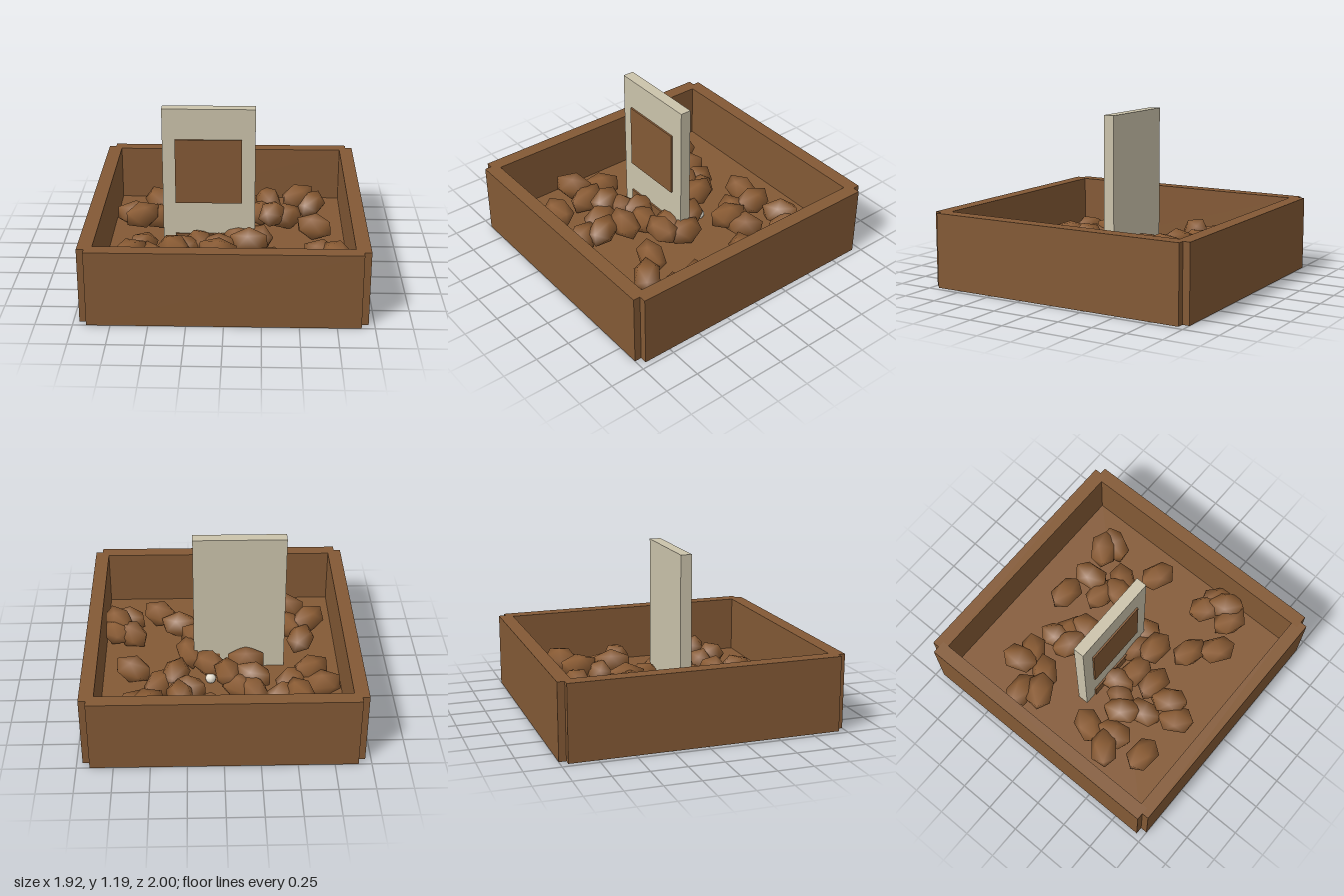
import * as THREE from 'three';
import { mergeVertices } from 'three/addons/utils/BufferGeometryUtils.js';

const mat = (name, color) => {
  const m = new THREE.MeshStandardMaterial({ color });
  m.name = name;
  return m;
};

export function createModel() {
  const model = new THREE.Group();
  const wood = mat('wood', 0x835935);
  const stoneBrown = mat('stone brown', 0x8b5c34);
  const boardBeige = mat('board beige', 0xcbc3ab);
  const pebbleWhite = mat('pebble white', 0xe6dfd0);

  // box given by its minimum and maximum corners
  const box = (name, m, [x0, y0, z0], [x1, y1, z1]) => {
    const mesh = new THREE.Mesh(new THREE.BoxGeometry(x1 - x0, y1 - y0, z1 - z0), m);
    mesh.position.set((x0 + x1) / 2, (y0 + y1) / 2, (z0 + z1) / 2);
    mesh.name = name;
    model.add(mesh);
  };

  // planter: floor and four overlapping walls
  const floorTop = 0.12;
  box('floor', wood, [-0.9, 0.002, -0.94], [0.9, floorTop, 0.94]);
  box('frontWall', wood, [-0.91, 0, 0.9], [0.91, 0.53, 1]);
  box('backWall', wood, [-0.91, 0, -1], [0.91, 0.53, -0.9]);
  box('leftWall', wood, [0.86, 0, -0.95], [0.96, 0.53, 0.95]);
  box('rightWall', wood, [-0.96, 0, -0.95], [-0.86, 0.53, 0.95]);

  // upright board with two raised panels on its front
  box('board', boardBeige, [-0.46, 0, -0.02], [0.2, 1.19, 0.06]);
  box('upperPanel', wood, [-0.37, 0.485, 0.06], [0.105, 0.965, 0.073]);
  box('lowerPanel', wood, [-0.37, 0.13, 0.06], [0.105, 0.243, 0.073]);

  // stone: smooth-shaded icosahedron, long along x
  let stoneGeo = new THREE.IcosahedronGeometry(1, 0);
  stoneGeo.deleteAttribute('uv');
  stoneGeo.deleteAttribute('normal');
  stoneGeo = mergeVertices(stoneGeo, 1e-3);
  stoneGeo.rotateY(Math.PI / 2);
  stoneGeo.scale(0.153, 0.1, 0.105);
  stoneGeo.computeVertexNormals();

  // [x, z, turn in degrees from +x towards +z]
  const lowStones = [
    [0.09, -0.61, 5], [0.63, -0.58, -65], [0.25, -0.4, 5], [0.44, -0.34, -50],
    [0.64, -0.16, 25], [-0.43, -0.49, -40], [-0.71, -0.36, 0], [-0.5, -0.32, -45],
    [-0.22, -0.43, 75], [-0.12, -0.38, 30], [0.09, -0.1, 55], [-0.18, -0.06, 0],
    [0.23, 0.04, 75], [-0.6, 0.2, -70], [-0.53, 0.38, 80], [-0.52, 0.64, 5],
    [-0.2, 0.14, 85], [-0.29, 0.25, -60], [-0.27, 0.44, 75], [-0.06, 0.2, 10],
    [-0.16, 0.66, 60], [0.31, 0.41, 15], [0.46, 0.56, 35], [0.67, 0.29, 35],
    [0.7, 0.49, 20], [0.78, 0.32, 40], [0.08, 0.07, 30],
  ];
  const highStones = [
    [0.3, -0.54, 85], [0.53, -0.61, -35], [0.33, -0.28, -75], [-0.54, -0.52, 70],
    [-0.64, -0.24, -30], [-0.22, -0.31, 25], [-0.04, -0.28, 85], [-0.67, 0.4, -40],
    [-0.37, 0.32, 60], [0.16, 0.2, 5], [-0.06, 0.37, 0], [-0.09, 0.54, 60],
    [0.77, 0.4, 60],
  ];
  const stones = new THREE.Group();
  stones.name = 'stones';
  const scatter = (list, y) => list.forEach(([x, z, deg], i) => {
    const s = new THREE.Mesh(stoneGeo, stoneBrown);
    s.name = 'stone';
    s.position.set(x, y, z);
    s.rotation.set(0.25 * Math.sin(i * 2.3), -deg * Math.PI / 180, 0.12 * Math.sin(i * 1.7), 'YXZ');
    stones.add(s);
  });
  scatter(lowStones, floorTop + 0.085);
  scatter(highStones, floorTop + 0.13);
  model.add(stones);

  // small pale pebbles behind the board
  for (const [x, z, r] of [[0.08, -0.21, 0.04], [-0.11, -0.2, 0.03]]) {
    const p = new THREE.Mesh(new THREE.SphereGeometry(r, 8, 6), pebbleWhite);
    p.name = 'pebble';
    p.position.set(x, floorTop + r * 0.8, z);
    model.add(p);
  }
  return model;
}
